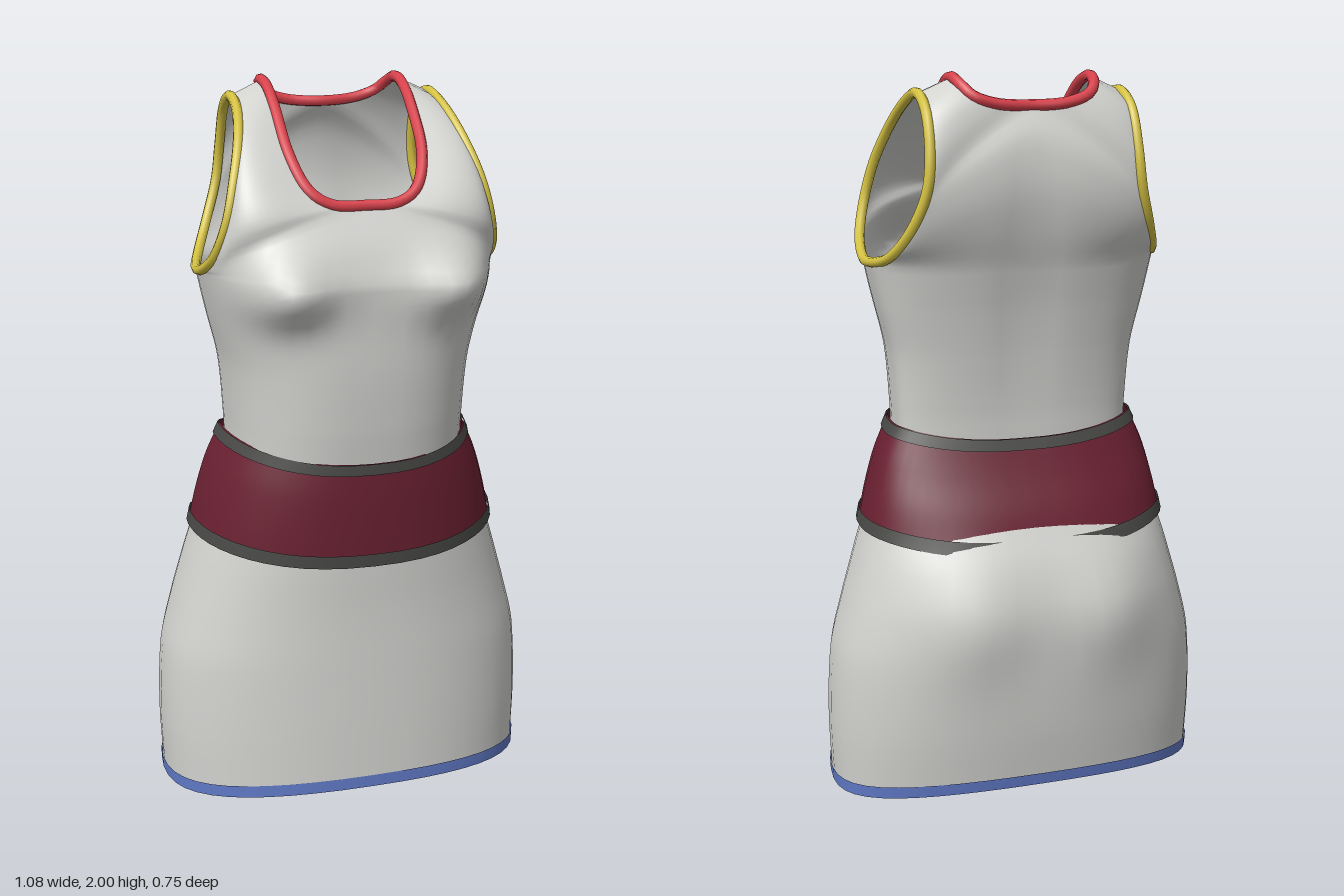
import * as THREE from 'three';
import { mergeVertices, mergeGeometries } from 'three/addons/utils/BufferGeometryUtils.js';

const V = (x, y, z) => new THREE.Vector3(x, y, z);
const mat = (name, color) => {
  const m = new THREE.MeshStandardMaterial({ color, side: THREE.DoubleSide });
  m.name = name;
  return m;
};
const Z_MID = -0.03; // depth of the side seams

// soft body shapes pushed into the cloth: bust, seat and spine
function sculpt(p) {
  const bump = (x, y, sx, sy) => Math.exp(-(((Math.abs(p.x) - x) / sx) ** 2) - ((p.y - y) / sy) ** 2);
  if (p.z > Z_MID) {
    p.z += 0.088 * bump(0.24, 1.48, 0.11, p.y < 1.48 ? 0.085 : 0.11);
  } else {
    p.z -= 0.035 * bump(0.2, 0.55, 0.13, 0.17);
    p.z += 0.014 * bump(0, 1.4, 0.06, 0.3);
  }
  return p;
}

// surface from a function of u and v
function grid(nu, nv, fn, flip = false) {
  const pos = [], idx = [];
  for (let j = 0; j <= nv; j++)
    for (let i = 0; i <= nu; i++) pos.push(...sculpt(fn(i / nu, j / nv)).toArray());
  for (let j = 0; j < nv; j++)
    for (let i = 0; i < nu; i++) {
      const a = j * (nu + 1) + i, b = a + 1, c = a + nu + 1, d = c + 1;
      idx.push(...(flip ? [a, d, b, a, c, d] : [a, b, d, a, d, c]));
    }
  const g = new THREE.BufferGeometry();
  g.setAttribute('position', new THREE.Float32BufferAttribute(pos, 3));
  g.setIndex(idx);
  return g;
}

function smooth(parts) {
  const g = mergeVertices(mergeGeometries(parts), 1e-4);
  g.computeVertexNormals();
  return g;
}

// rounded-box cross-section; angle 0 is the front, PI / 2 the left side
function ring(t, y, w, f, b, n) {
  const s = Math.sin(t), c = Math.cos(t);
  const pow = (a) => (Math.abs(a) < 1e-9 ? 0 : Math.sign(a) * Math.abs(a) ** (2 / n));
  return V(w * pow(s), y, Z_MID + (c > 0 ? f - Z_MID : Z_MID - b) * pow(c));
}

// closed loft through rows of [y, half width, front z, back z]
function loft(rows, { v0 = 0, v1 = 1, grow = 0, n = 2.3, nv = 20, dip = () => 0 } = {}) {
  const curve = new THREE.CatmullRomCurve3(rows.map((r) => V(r[1], r[2], r[3])), false, 'catmullrom');
  return grid(48, nv, (u, k) => {
    const v = v0 + (v1 - v0) * k, t = u * Math.PI * 2;
    const at = v * (rows.length - 1), i = Math.min(Math.floor(at), rows.length - 2);
    const y = THREE.MathUtils.lerp(rows[i][0], rows[i + 1][0], at - i);
    const q = curve.getPoint(v);
    return ring(t, y + dip(t, v), q.x + grow, q.y + grow, q.z - grow, n);
  });
}

const SKIRT = [
  [0.0, 0.535, 0.322, -0.32], [0.2, 0.54, 0.315, -0.345], [0.4, 0.528, 0.307, -0.355],
  [0.55, 0.49, 0.302, -0.35], [0.68, 0.452, 0.302, -0.315], [0.8, 0.415, 0.302, -0.255],
];
const BELT = [
  [0.72, 0.437, 0.322, -0.285], [0.82, 0.415, 0.324, -0.25],
  [0.92, 0.385, 0.324, -0.2], [1.012, 0.343, 0.32, -0.16],
];
const BODICE = [
  [1.0, 0.33, 0.312, -0.152], [1.1, 0.333, 0.322, -0.155], [1.25, 0.345, 0.33, -0.17],
  [1.38, 0.375, 0.33, -0.19], [1.5, 0.4, 0.33, -0.215],
];

// inner edges run up the centre line, then along the neckline to the shoulder
const INNER_FRONT = [
  V(0, 1.5, 0.33), V(0, 1.6, 0.29), V(0, 1.69, 0.235), V(0.09, 1.695, 0.235), V(0.15, 1.735, 0.21),
  V(0.182, 1.82, 0.14), V(0.188, 1.92, 0.03), V(0.19, 1.97, -0.05), V(0.19, 1.985, -0.12),
];
const INNER_BACK = [
  V(0, 1.5, -0.215), V(0, 1.6, -0.24), V(0, 1.72, -0.255), V(0, 1.84, -0.24), V(0, 1.915, -0.2),
  V(0.09, 1.92, -0.21), V(0.155, 1.94, -0.205), V(0.183, 1.97, -0.17), V(0.19, 1.985, -0.12),
];
// outer edges run round the armhole from the underarm to the shoulder
const OUTER_FRONT = [
  V(0.4, 1.5, -0.03), V(0.4, 1.51, 0.06), V(0.385, 1.56, 0.15), V(0.36, 1.65, 0.19),
  V(0.335, 1.75, 0.17), V(0.305, 1.85, 0.1), V(0.285, 1.92, 0), V(0.28, 1.945, -0.11),
];
const OUTER_BACK = [
  V(0.4, 1.5, -0.03), V(0.37, 1.525, -0.14), V(0.33, 1.6, -0.215), V(0.295, 1.7, -0.25),
  V(0.283, 1.8, -0.245), V(0.28, 1.9, -0.2), V(0.28, 1.945, -0.11),
];
const spline = (pts, closed = false) => new THREE.CatmullRomCurve3(pts, closed, 'catmullrom');

// quarter of the upper bodice, blended between ring, centre line, neckline and armhole
function yoke(inner, outer, front, side) {
  const I = spline(inner), O = spline(outer), [y, w, f, b] = BODICE[BODICE.length - 1];
  const flip = front ? side < 0 : side > 0;
  return grid(12, 24, (u, v) => {
    const a = I.getPoint(v);
    a.x = Math.max(a.x, 0);
    const t = front ? (u * Math.PI) / 2 : Math.PI - (u * Math.PI) / 2;
    const bulge = ring(t, y, w, f, b, 2.6).sub(inner[0].clone().lerp(outer[0], u));
    const p = a.lerp(O.getPoint(v), u).addScaledVector(bulge, (1 - v) ** 1.5);
    p.x *= side;
    return p;
  }, flip);
}

export function createModel() {
  const group = new THREE.Group();
  const cloth = mat('light grey cloth', 0xd2d2cf);
  const maroon = mat('maroon belt', 0x6a2031);
  const dark = mat('dark belt edging', 0x484846);
  const red = mat('red neck trim', 0xd9424c);
  const yellow = mat('yellow armhole trim', 0xd6c343);
  const blue = mat('blue hem trim', 0x6079c6);
  const add = (name, geometry, material) => {
    const m = new THREE.Mesh(geometry, material);
    m.name = name;
    group.add(m);
  };

  // skirt, lower at the sides than in front and behind
  const hemDip = (t, v) => 0.045 * Math.cos(t) ** 2 * (1 - v);
  add('skirt', smooth([loft(SKIRT, { nv: 28, dip: hemDip })]), cloth);
  add('hemTrim', smooth([loft(SKIRT, { v1: 0.036, grow: 0.004, nv: 2, dip: hemDip })]), blue);

  // belt with edging, raised at the sides
  const beltDip = (t) => 0.04 * Math.sin(t) ** 2;
  add('belt', smooth([loft(BELT, { dip: beltDip })]), maroon);
  for (const [name, v0, v1] of [['beltLowerEdge', 0, 0.12], ['beltUpperEdge', 0.89, 1]])
    add(name, smooth([loft(BELT, { v0, v1, grow: 0.006, nv: 2, dip: beltDip })]), dark);

  // bodice: full rings below the armholes, four quarters above
  const parts = [loft(BODICE, { n: 2.6, nv: 24 })];
  for (const side of [1, -1])
    parts.push(yoke(INNER_FRONT, OUTER_FRONT, true, side), yoke(INNER_BACK, OUTER_BACK, false, side));
  add('bodice', smooth(parts), cloth);

  // neckline trim
  const mirror = (p) => V(-p.x, p.y, p.z);
  const half = [...INNER_FRONT.slice(2), ...INNER_BACK.slice(4, -1).reverse()];
  const neck = [...half, ...half.slice(1, -1).reverse().map(mirror)];
  add('neckTrim', new THREE.TubeGeometry(spline(neck, true), 96, 0.015, 8, true), red);

  // armhole trims
  const arm = [...OUTER_FRONT, ...OUTER_BACK.slice(1, -1).reverse()];
  add('leftArmholeTrim', new THREE.TubeGeometry(spline(arm, true), 72, 0.014, 8, true), yellow);
  add('rightArmholeTrim', new THREE.TubeGeometry(spline(arm.map(mirror), true), 72, 0.014, 8, true), yellow);

  return group;
}
